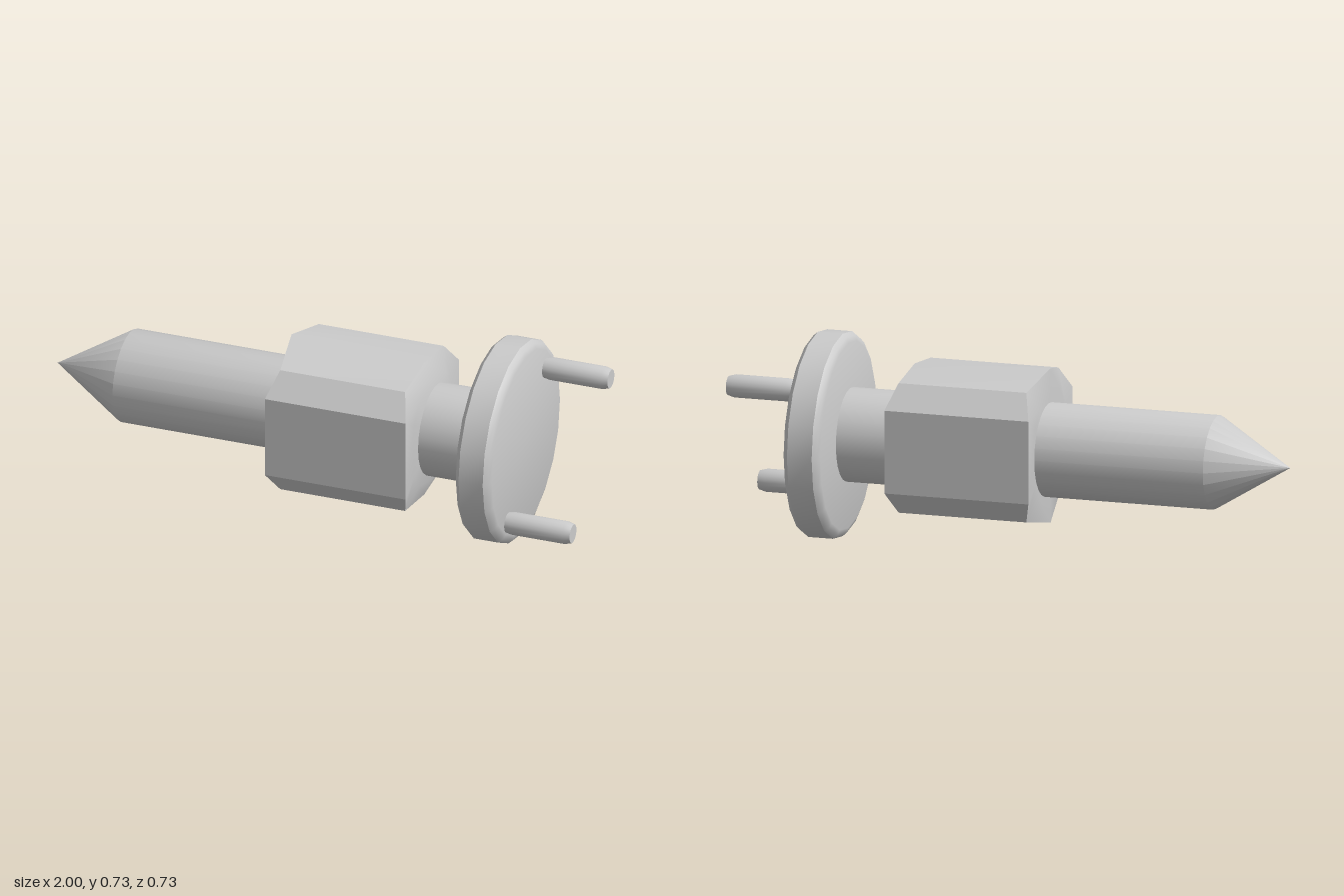
import * as THREE from 'three';
import { toCreasedNormals } from 'three/addons/utils/BufferGeometryUtils.js';

const material = new THREE.MeshStandardMaterial({ color: 0xcccccc });

// Solid turned around the x axis; profile is [x, radius] from -x to +x
function turned(name, profile, sides, y, z) {
  const points = profile.map(([x, r]) => new THREE.Vector2(r, x));
  const geometry = new THREE.LatheGeometry(points, sides);
  geometry.rotateZ(-Math.PI / 2);
  const mesh = new THREE.Mesh(toCreasedNormals(geometry, 0.6), material);
  mesh.name = name;
  mesh.position.set(0, y, z);
  return mesh;
}

// Faceted collar: closed loops of cross-sections joined along x
function collar() {
  // Quarter section: [z, y, left x, right x, right y]
  const top = [0, 0.28, -0.11, 0.39, 0.26];
  const shoulder = [0.19, 0.235, -0.08, 0.39, 0.235];
  const side = [0.2625, 0.15, -0.11, 0.42, 0.15];
  const flip = ([z, y, a, b, y2], sz, sy) => [z * sz, y * sy, a, b, y2 * sy];
  const section = [
    top, shoulder, side, flip(side, 1, -1), flip(shoulder, 1, -1),
    flip(top, 1, -1), flip(shoulder, -1, -1), flip(side, -1, -1),
    flip(side, -1, 1), flip(shoulder, -1, 1),
  ];
  const inner = 0.69;
  const loops = [
    section.map(() => [-0.11, 0, 0]),
    section.map(([z, y]) => [-0.11, y * inner, z * inner]),
    section.map(([z, y, a]) => [a, y, z]),
    section.map(([z, , , b, y2]) => [b, y2, z]),
    section.map(([z, y]) => [0.42, y * inner, z * inner]),
    section.map(() => [0.42, 0, 0]),
  ];
  const n = section.length;
  const index = [];
  for (let i = 0; i < loops.length - 1; i++) {
    for (let j = 0; j < n; j++) {
      const a = i * n + j, b = i * n + (j + 1) % n;
      const c = a + n, d = b + n;
      if (i > 0) index.push(a, b, c);
      if (i < loops.length - 2) index.push(b, d, c);
      if (i === 0) index.push(b, d, c);
    }
  }
  const geometry = new THREE.BufferGeometry();
  geometry.setAttribute('position', new THREE.Float32BufferAttribute(loops.flat(2), 3));
  geometry.setIndex(index);
  geometry.computeVertexNormals();
  const mesh = new THREE.Mesh(toCreasedNormals(geometry, 0.6), material);
  mesh.name = 'collar';
  mesh.position.set(0, 0.375, 0.0425);
  return mesh;
}

export function createModel() {
  const group = new THREE.Group();

  // Pointed shaft running through the collar into the disc
  group.add(turned('pointedShaft', [[-1, 0], [-0.73, 0.167], [0.64, 0.167], [0.64, 0]], 24, 0.367, 0.017));
  group.add(collar());

  // Bevelled end disc
  group.add(turned('endDisc', [
    [0.62, 0], [0.62, 0.335], [0.627, 0.354], [0.642, 0.367],
    [0.733, 0.367], [0.748, 0.354], [0.755, 0.335], [0.755, 0],
  ], 20, 0.367, 0));

  // Two pins on the outer face of the disc
  const pinProfile = [[0.74, 0], [0.74, 0.034], [0.78, 0.041], [0.975, 0.041], [1, 0.034], [1, 0]];
  for (const [name, y, z] of [['lowerPin', 0.135, 0.176], ['upperPin', 0.568, -0.197]]) {
    group.add(turned(name, pinProfile, 20, y, z));
  }
  return group;
}
